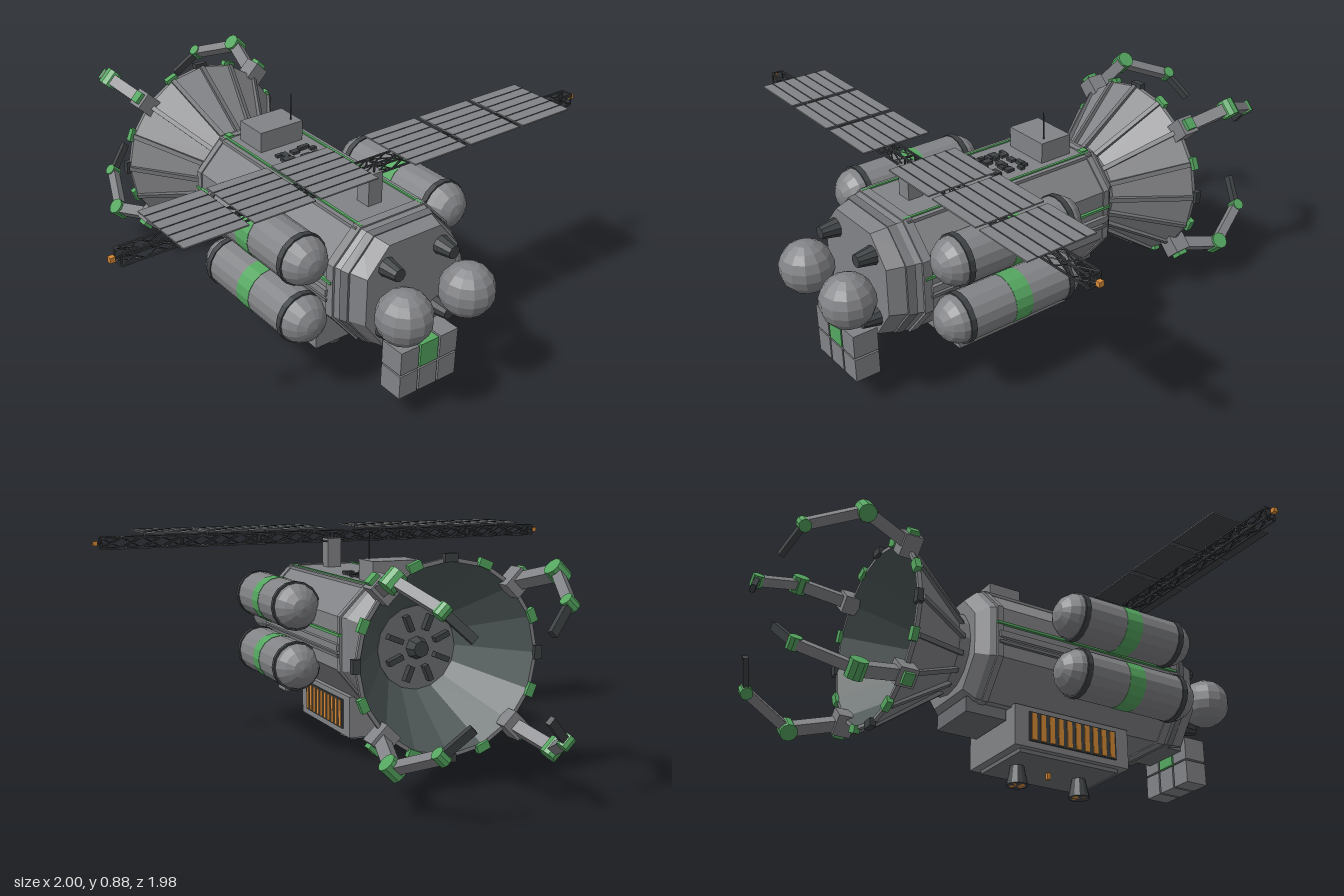
import * as THREE from 'three';
import { mergeGeometries } from 'three/addons/utils/BufferGeometryUtils.js';

const mat = (name, color) => {
  const m = new THREE.MeshStandardMaterial({ color });
  m.name = name;
  return m;
};

export function createModel() {
  const grey = mat('hull grey', 0x828386);
  const mid = mat('trim grey', 0x6c6e71);
  const dark = mat('dark metal', 0x3e4244);
  const green = mat('green paint', 0x55a660);
  const orange = mat('orange glow', 0xd68a36);
  const inner = mat('cone lining', 0x4f5958);

  const root = new THREE.Group();
  root.name = 'spacecraft';
  const AX = 0.468; // height of the long axis

  const flat = (g) => {
    const f = g.index ? g.toNonIndexed() : g;
    f.computeVertexNormals();
    return f;
  };
  const add = (name, geo, material, x = 0, y = 0, z = 0, parent = root) => {
    const m = new THREE.Mesh(geo, material);
    m.name = name;
    m.position.set(x, y, z);
    parent.add(m);
    return m;
  };
  const box = (name, w, h, d, material, x, y, z, parent) =>
    add(name, new THREE.BoxGeometry(w, h, d), material, x, y, z, parent);
  // cylinder along z; r1 is the radius at the +z end
  const zCyl = (r1, r2, len, n, open = false) =>
    flat(new THREE.CylinderGeometry(r1, r2, len, n, 1, open).rotateX(Math.PI / 2));
  // square bar between two points
  const bar = (a, b, w, d = w) => {
    const p = new THREE.Vector3(...a), q = new THREE.Vector3(...b);
    const dir = q.clone().sub(p);
    const g = new THREE.BoxGeometry(w, dir.length(), d);
    g.applyQuaternion(new THREE.Quaternion().setFromUnitVectors(new THREE.Vector3(0, 1, 0), dir.normalize()));
    const c = p.add(q).multiplyScalar(0.5);
    return g.translate(c.x, c.y, c.z);
  };
  // eight-sided body through sections [z, xScale, yScale], z rising
  const OCT = [[0.14, 0.222], [-0.14, 0.222], [-0.25, 0.11], [-0.25, -0.09],
    [-0.14, -0.225], [0.14, -0.225], [0.25, -0.09], [0.25, 0.11]];
  const loft = (sections) => {
    const rings = sections.map(([z, sx, sy]) => OCT.map(([x, y]) => [x * sx, AX + y * sy, z]));
    const v = [];
    const n = OCT.length;
    for (let i = 0; i < rings.length - 1; i++) {
      for (let j = 0; j < n; j++) {
        const k = (j + 1) % n, A = rings[i], B = rings[i + 1];
        v.push(...A[j], ...A[k], ...B[k], ...A[j], ...B[k], ...B[j]);
      }
    }
    const back = rings[0], front = rings[rings.length - 1];
    for (let j = 1; j < n - 1; j++) {
      v.push(...front[0], ...front[j], ...front[j + 1], ...back[0], ...back[j + 1], ...back[j]);
    }
    const g = new THREE.BufferGeometry();
    g.setAttribute('position', new THREE.Float32BufferAttribute(v, 3));
    g.computeVertexNormals();
    return g;
  };

  // Hull with raised collars
  add('hull', loft([[-0.24, 0.78, 0.82], [-0.2, 0.94, 0.98], [-0.17, 1, 1], [0.65, 1, 1], [0.77, 0.8, 0.91]]), grey);
  for (const [z, w] of [[0.64, 0.035], [-0.165, 0.025]]) {
    add('hullCollar', loft([[z - w / 2, 1.02, 1.02], [z + w / 2, 1.02, 1.02]]), grey);
  }
  add('noseStep', loft([[0.68, 0.97, 0.99], [0.71, 0.93, 0.97]]), mid);
  for (const s of [-1, 1]) {
    box('sideRail', 0.02, 0.025, 0.8, grey, s * 0.255, 0.465, 0.23);
    box('sideRail', 0.014, 0.012, 0.8, mid, s * 0.255, 0.435, 0.23);
    box('sideStripe', 0.014, 0.01, 0.83, green, s * 0.254, 0.512, 0.235);
    box('topStripe', 0.01, 0.008, 0.83, green, s * 0.132, 0.691, 0.235);
    box('topRail', 0.016, 0.012, 0.82, grey, s * 0.146, 0.684, 0.235);
    box('clampBlock', 0.025, 0.018, 0.03, green, s * 0.115, 0.69, -0.165);
  }

  // Four strapped tanks
  for (const x of [-0.314, 0.314]) for (const y of [0.587, 0.353]) {
    const tank = new THREE.Group();
    tank.name = 'tank';
    tank.position.set(x, y, 0.345);
    root.add(tank);
    add('tankBody', flat(new THREE.CapsuleGeometry(0.092, 0.43, 4, 16).rotateX(Math.PI / 2)), grey, 0, 0, 0, tank);
    add('tankBand', zCyl(0.0935, 0.0935, 0.072, 16), green, 0, 0, -0.005, tank);
    for (const z of [-0.22, 0.215]) add('tankStrap', zCyl(0.096, 0.096, 0.022, 16), dark, 0, 0, z, tank);
  }

  // Nose: spheres, nozzles and a rack of boxes
  for (const s of [-1, 1]) {
    add('noseSphere', flat(new THREE.SphereGeometry(0.1, 12, 9)), grey, s * 0.14, AX, 0.89);
    for (const y of [0.592, 0.345]) add('noseNozzle', zCyl(0.024, 0.037, 0.075, 10), dark, s * 0.12, y, 0.8);
  }
  for (let c = -1; c <= 1; c++) for (let r = 0; r < 2; r++) {
    const top = r === 1;
    box('rackBox', 0.08, 0.092, 0.098, c === 0 && top ? green : grey, c * 0.088, top ? 0.257 : 0.158, 0.828);
  }
  box('rackBracket', 0.2, 0.03, 0.2, mid, 0, 0.265, 0.68);

  // Belly module with side grilles and landing thrusters
  box('bellyModule', 0.33, 0.16, 0.51, grey, 0, 0.17, 0.205);
  box('bellyPlate', 0.28, 0.02, 0.44, mid, 0, 0.085, 0.205);
  box('rearBellyBox', 0.22, 0.06, 0.17, mid, 0, 0.23, -0.14);
  for (const s of [-1, 1]) {
    box('grilleBack', 0.008, 0.115, 0.39, dark, s * 0.167, 0.172, 0.205);
    for (let i = 0; i < 10; i++) box('grilleSlat', 0.008, 0.105, 0.021, orange, s * 0.17, 0.172, 0.03 + i * 0.039);
  }
  for (const z of [0.34, 0.06]) {
    add('thruster', flat(new THREE.CylinderGeometry(0.026, 0.042, 0.08, 12)), dark, 0, 0.04, z);
    add('thrusterGlow', flat(new THREE.CylinderGeometry(0.03, 0.03, 0.004, 12)), orange, 0, 0.002, z);
  }
  box('bellyLight', 0.015, 0.03, 0.015, orange, 0, 0.065, 0.2);

  // Roof: equipment box, antenna, mast and small fittings
  box('roofBox', 0.19, 0.085, 0.135, grey, 0, 0.727, -0.05);
  add('antenna', new THREE.CylinderGeometry(0.002, 0.003, 0.11, 6), dark, 0.065, 0.82, -0.015);
  box('mast', 0.06, 0.13, 0.06, grey, 0, 0.745, 0.53);
  let seed = 7;
  const rnd = () => (seed = (seed * 16807) % 2147483647) / 2147483647;
  for (let i = 0; i < 24; i++) {
    box('roofFitting', 0.015 + rnd() * 0.025, 0.012 + rnd() * 0.01, 0.015 + rnd() * 0.02, dark,
      -0.1 + rnd() * 0.18, 0.693, 0.07 + rnd() * 0.15);
  }

  // Lattice boom across the mast
  const struts = [], y0 = 0.798, y1 = 0.84, z0 = 0.506, z1 = 0.548, L = 0.968, bays = 24;
  for (const y of [y0, y1]) for (const z of [z0, z1]) struts.push(bar([-L, y, z], [L, y, z], 0.006));
  for (let i = 0; i <= bays; i++) {
    const a = -L + (2 * L * i) / bays, b = a + (2 * L) / bays;
    for (const z of [z0, z1]) {
      if (i % 4 === 0) struts.push(bar([a, y0, z], [a, y1, z], 0.005));
      if (i < bays) struts.push(bar([a, i % 2 ? y1 : y0, z], [b, i % 2 ? y0 : y1, z], 0.004),
        bar([a, i % 2 ? y0 : y1, z], [b, i % 2 ? y1 : y0, z], 0.004));
    }
    for (const y of [y0, y1]) {
      if (i % 4 === 0) struts.push(bar([a, y, z0], [a, y, z1], 0.005));
      if (i < bays) struts.push(bar([a, y, i % 2 ? z1 : z0], [b, y, i % 2 ? z0 : z1], 0.004));
    }
  }
  add('boomLattice', mergeGeometries(struts), dark);
  for (const s of [-1, 1]) {
    box('boomTipLight', 0.018, 0.018, 0.018, orange, s * 0.99, 0.819, 0.527);
    box('boomTipPin', 0.03, 0.005, 0.005, dark, s * 0.975, 0.819, 0.527);
    // Solar panels, dark underneath, with cell lines on top
    for (const x of [0.197, 0.452, 0.705]) {
      box('solarPanel', 0.234, 0.005, 0.27, [grey, grey, grey, dark, grey, grey], s * x, 0.861, 0.527);
      for (let k = -2; k <= 2; k++) box('cellLine', 0.234, 0.002, 0.005, dark, s * x, 0.864, 0.527 + k * 0.047);
      for (const e of [-0.09, 0.09]) box('panelPost', 0.01, 0.022, 0.01, dark, s * x + e, 0.849, 0.527);
    }
  }

  // Rear neck and flared capture cone
  add('neck', zCyl(0.165, 0.165, 0.07, 16), grey, 0, AX, -0.25);
  const shell = (pts) => flat(new THREE.LatheGeometry(pts.map((p) => new THREE.Vector2(...p)), 16).rotateX(Math.PI / 2));
  add('coneShell', shell([[0.338, -0.55], [0.352, -0.55], [0.352, -0.535], [0.155, -0.27]]), grey, 0, AX);
  add('coneLining', shell([[0.145, -0.275], [0.338, -0.55]]), inner, 0, AX);
  add('coneFloor', zCyl(0.155, 0.155, 0.01, 16), mid, 0, AX, -0.287);
  add('dockingHub', zCyl(0.045, 0.03, 0.05, 8), dark, 0, AX, -0.31);
  for (let i = 0; i < 16; i++) {
    const spoke = new THREE.Group();
    spoke.name = 'coneSpoke';
    spoke.position.y = AX;
    spoke.rotation.z = (i * Math.PI) / 8;
    root.add(spoke);
    add('coneRib', bar([0, 0.162, -0.27], [0, 0.352, -0.535], 0.018), mid, 0, 0, 0, spoke);
    box('rimClip', 0.05, 0.03, 0.024, i % 2 ? green : dark, 0, 0.35, -0.55, spoke);
    if (i % 2) box('dockingLatch', 0.02, 0.06, 0.03, dark, 0, 0.1, -0.305, spoke);
  }

  // Four grabbing arms on the diagonals
  for (let i = 0; i < 4; i++) {
    const arm = new THREE.Group();
    arm.name = 'grabArm';
    arm.position.y = AX;
    arm.rotation.z = Math.PI / 4 + (i * Math.PI) / 2;
    root.add(arm);
    const elbow = [0, 0.43, -0.745], wrist = [0, 0.322, -0.938];
    box('armBase', 0.07, 0.085, 0.07, grey, 0, 0.36, -0.55, arm);
    box('armBaseCap', 0.045, 0.02, 0.04, green, 0, 0.408, -0.55, arm);
    add('upperArm', bar([0, 0.365, -0.56], elbow, 0.045), grey, 0, 0, 0, arm);
    add('foreArm', bar(elbow, wrist, 0.036), grey, 0, 0, 0, arm);
    add('finger', bar(wrist, [0, 0.195, -0.98], 0.03, 0.02), dark, 0, 0, 0, arm);
    for (const [p, r, len] of [[elbow, 0.034, 0.066], [wrist, 0.024, 0.046]]) {
      add('armJoint', flat(new THREE.CylinderGeometry(r, r, len, 10).rotateZ(Math.PI / 2)), green, ...p, arm);
    }
  }
  return root;
}
